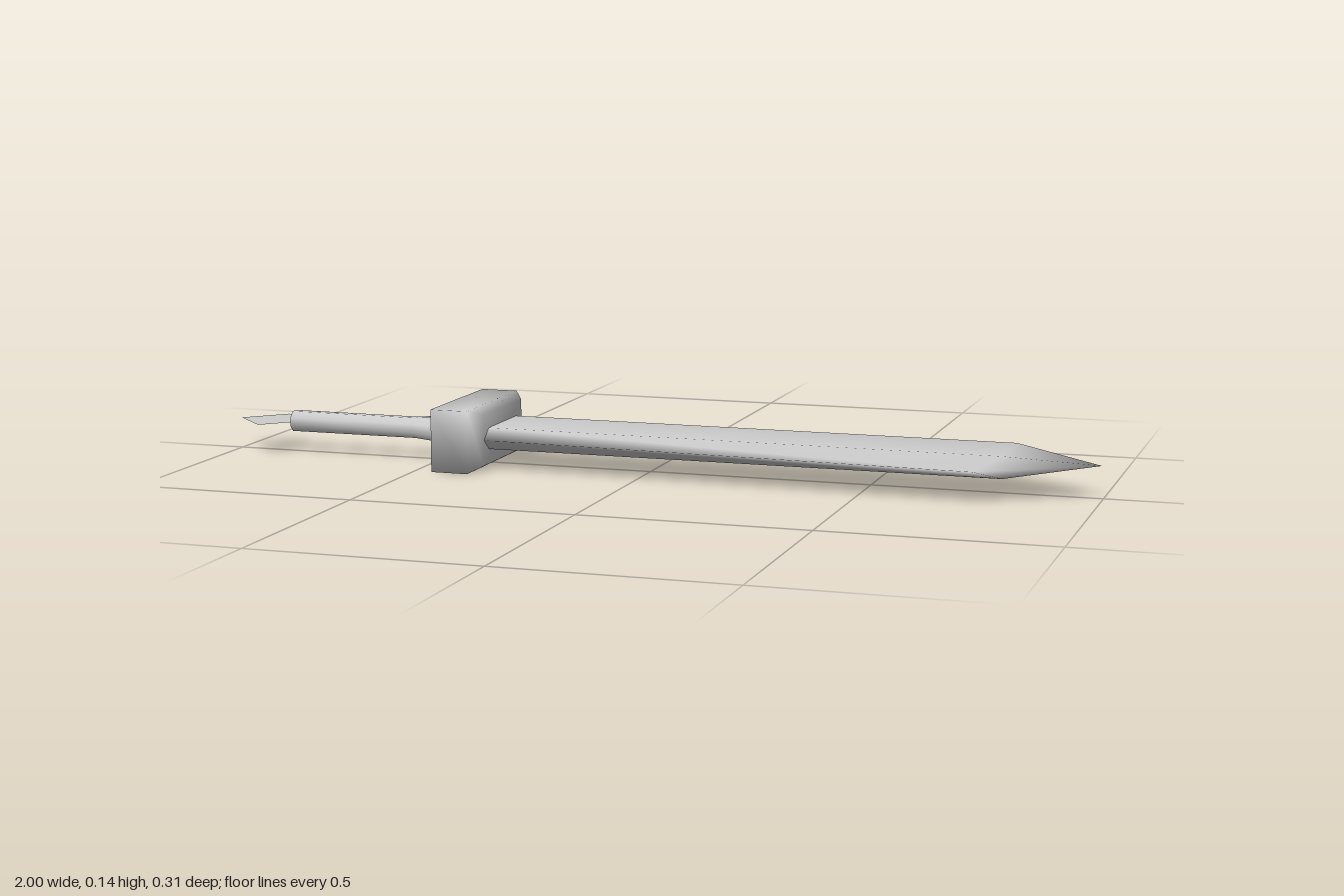
import * as THREE from 'three';
import { mergeVertices } from 'three/addons/utils/BufferGeometryUtils.js';

const MID = 0.07; // height of the sword's flat centre plane

// Smooth skin over rings of [x, y, z] points, each running from +y towards +z; both ends are capped
function loft(rings) {
  const n = rings[0].length, index = [];
  for (let i = 0; i < rings.length - 1; i++) {
    for (let j = 0; j < n; j++) {
      const k = (j + 1) % n, a = i * n + j, b = i * n + k;
      index.push(a, b, b + n, a, b + n, a + n);
    }
  }
  const last = (rings.length - 1) * n;
  for (let j = 1; j < n - 1; j++) {
    index.push(0, j + 1, j, last, last + j, last + j + 1);
  }
  let g = new THREE.BufferGeometry();
  g.setAttribute('position', new THREE.Float32BufferAttribute(rings.flat(2), 3));
  g.setIndex(index);
  g = mergeVertices(g);
  g.computeVertexNormals();
  return g;
}

const rect = (x, h, w) => [[x, h, -w], [x, h, w], [x, -h, w], [x, -h, -w]];

// Six-sided blade section: flat half-width, edge half-width and separate x for flats and edges
const hexagon = (xFlat, xEdge, h, flat, edge) => [
  [xFlat, h, -flat], [xFlat, h, flat], [xEdge, 0, edge],
  [xFlat, -h, flat], [xFlat, -h, -flat], [xEdge, 0, -edge],
];

const round = (x, ry, rz) => Array.from({ length: 8 }, (_, i) => {
  const a = (i + 0.5) * Math.PI / 4, s = Math.cos(Math.PI / 8);
  return [x, ry * Math.cos(a) / s, rz * Math.sin(a) / s];
});

export function createModel() {
  const sword = new THREE.Group();
  sword.name = 'sword';
  const steel = new THREE.MeshStandardMaterial({ color: 0xcccccc, side: THREE.DoubleSide });
  steel.name = 'steel grey';

  const add = (name, geometry) => {
    const mesh = new THREE.Mesh(geometry, steel);
    mesh.name = name;
    mesh.position.y = MID;
    sword.add(mesh);
    return mesh;
  };

  // Blade widens towards the point, then closes to a sharp tip
  add('blade', loft([
    hexagon(-0.37, -0.37, 0.024, 0.085, 0.114),
    hexagon(0.8, 0.75, 0.024, 0.085, 0.155),
    hexagon(0.995, 0.995, 0, 0, 0),
  ]));

  // Block guard, chamfered on the blade side
  add('guard', loft([
    rect(-0.46, 0.07, 0.155),
    rect(-0.375, 0.07, 0.155),
    rect(-0.35, 0.057, 0.118),
  ]));

  // Grip with a flare where it meets the guard
  add('grip', loft([
    round(-0.865, 0.023, 0.023),
    round(-0.56, 0.023, 0.023),
    round(-0.455, 0.032, 0.04),
  ]));

  // Thin diamond pommel plate
  const diamond = new THREE.Shape([[-1, 0], [-0.918, -0.082], [-0.836, 0], [-0.918, 0.082]]
    .map(([x, y]) => new THREE.Vector2(x, y)));
  add('pommel', new THREE.ShapeGeometry(diamond)).rotation.x = -Math.PI / 2;

  return sword;
}
